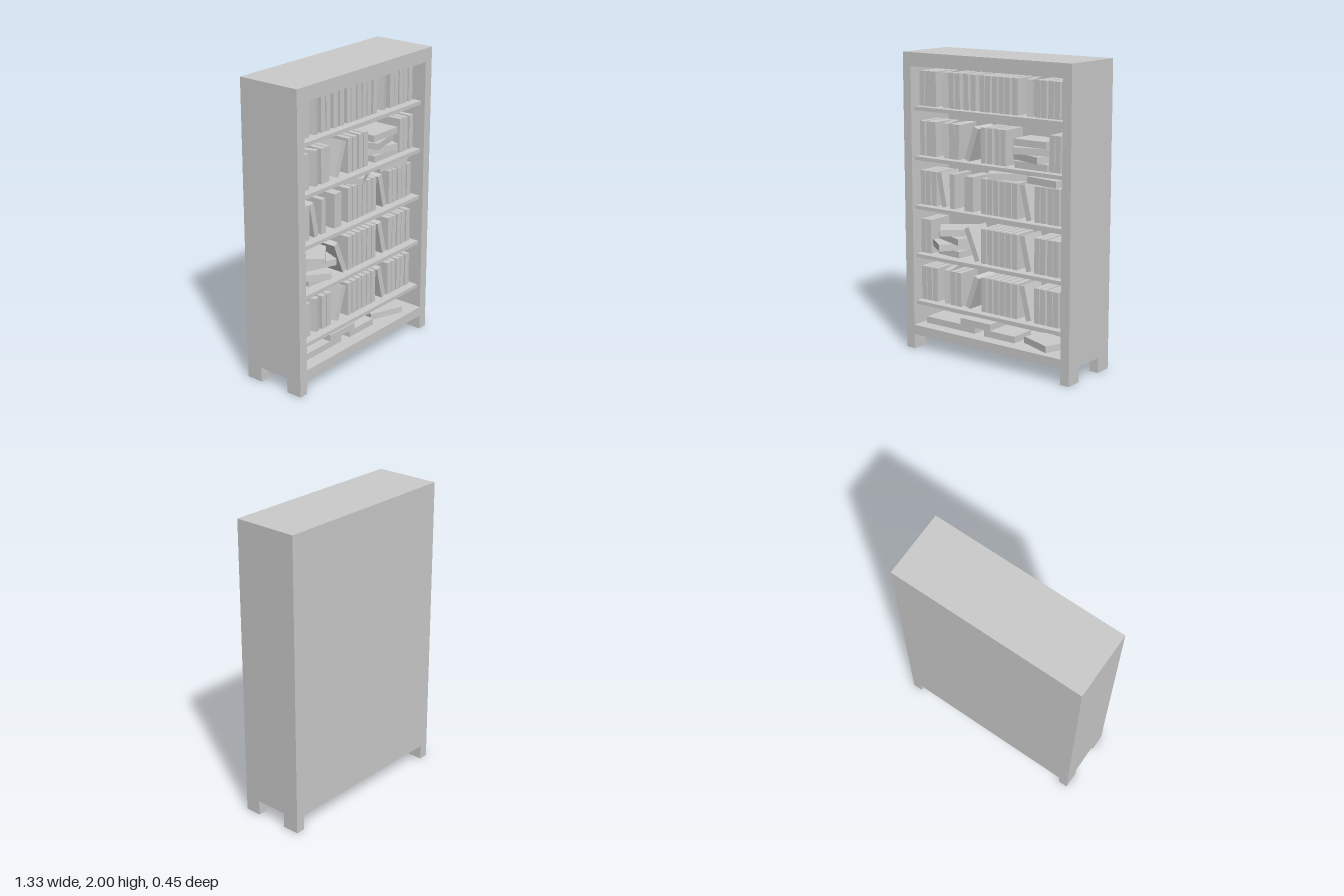
import * as THREE from 'three';

const material = new THREE.MeshStandardMaterial({ color: 0xcccccc, flatShading: true });
const BOOK = { thick: 0.04, tall: 0.23, deep: 0.18 };
const SPINE_Z = 0.135;

function box(parent, name, [w, h, d], [x, y, z]) {
  const mesh = new THREE.Mesh(new THREE.BoxGeometry(w, h, d), material);
  mesh.name = name;
  mesh.position.set(x, y, z);
  parent.add(mesh);
  return mesh;
}

// Upright book, given by its left edge
function upright(row, x, w = BOOK.thick) {
  box(row, 'uprightBook', [w, BOOK.tall, BOOK.deep], [x + w / 2, BOOK.tall / 2, SPINE_Z - BOOK.deep / 2]);
}

// Upright book twisted about the vertical, showing part of its cover
function twisted(row, x, turn = 0.3) {
  const half = (Math.cos(turn) * BOOK.deep + Math.sin(turn) * BOOK.thick) / 2;
  box(row, 'twistedBook', [BOOK.thick, BOOK.tall, BOOK.deep], [x, BOOK.tall / 2, SPINE_Z - half]).rotation.y = turn;
}

// Book tipped sideways, resting on its lower corner
function leaning(row, x, tilt) {
  const half = (Math.cos(tilt) * BOOK.tall + Math.abs(Math.sin(tilt)) * BOOK.thick) / 2;
  box(row, 'leaningBook', [BOOK.thick, BOOK.tall, BOOK.deep], [x, half, SPINE_Z - BOOK.deep / 2]).rotation.z = tilt;
}

// Book lying flat
function flat(row, x, y, turn = 0, z = 0.045, length = 0.25) {
  box(row, 'lyingBook', [length, 0.044, BOOK.deep], [x, y + 0.022, z]).rotation.y = turn;
}

function buildCase(group) {
  // Frame of top, sides and floor around the opening
  const frame = new THREE.Shape();
  frame.moveTo(-0.665, 0.1).lineTo(0.665, 0.1).lineTo(0.665, 2).lineTo(-0.665, 2).closePath();
  const opening = new THREE.Path();
  opening.moveTo(-0.6, 0.165).lineTo(-0.6, 1.91).lineTo(0.6, 1.91).lineTo(0.6, 0.165).closePath();
  frame.holes.push(opening);
  const geometry = new THREE.ExtrudeGeometry(frame, { depth: 0.38, bevelEnabled: false });
  geometry.translate(0, 0, -0.16);
  const mesh = new THREE.Mesh(geometry, material);
  mesh.name = 'caseFrame';
  group.add(mesh);
  box(group, 'backPanel', [1.33, 1.9, 0.065], [0, 1.05, -0.1925]);

  // Four short legs
  for (const side of [-1, 1]) {
    box(group, 'frontLeg', [0.065, 0.1, 0.11], [side * 0.6325, 0.05, 0.165]);
    box(group, 'backLeg', [0.065, 0.1, 0.115], [side * 0.6325, 0.05, -0.1675]);
  }
}

export function createModel() {
  const group = new THREE.Group();
  group.name = 'bookcase';
  buildCase(group);

  // Runs of books shared by several shelves
  const middle = [-0.09, -0.04, 0.01, 0.06, 0.11, 0.16];
  const end = [0.335, 0.38, 0.435, 0.48, 0.535];

  // Shelves from the top down; twist and lean entries are book centres
  const shelves = [
    {
      y: 1.645,
      books: [-0.6, -0.3, -0.35, -0.23, -0.17, -0.1, -0.053, 0, 0.053, 0.1, 0.16, ...end],
      wide: [[-0.555, 0.095]],
      twist: [-0.41, 0.265],
    },
    {
      y: 1.315,
      books: [-0.6, -0.545, -0.505, -0.35, -0.09, -0.04, 0.02, 0.07, 0.445, 0.49, 0.55],
      twist: [-0.41],
      lean: [[-0.29, -0.04], [-0.167, -0.34]],
      lying: [[0.305, 0], [0.285, 0.045, -0.3], [0.28, 0.09, 0.24], [0.295, 0.14]],
    },
    {
      y: 0.985,
      books: [-0.6, -0.555, -0.505, -0.35, ...middle, ...end],
      wide: [[-0.225, 0.07]],
      lean: [[-0.42, 0.2], [0.265, 0.24]],
      lying: [[0.07, 0.238, 0.5], [0.4, 0.238, -0.15]],
    },
    {
      y: 0.655,
      books: [-0.6, -0.555, ...middle, ...end],
      lean: [[-0.167, 0.4], [0.265, 0.24]],
      lying: [[-0.355, 0.008, -0.12, 0.045, 0.2], [-0.365, 0.055, 0.92, 0.073], [-0.335, 0.1, -0.37], [-0.345, 0.147, 0.67]],
    },
    {
      y: 0.33,
      books: [-0.6, -0.555, -0.505, -0.35, -0.3, ...middle, ...end],
      twist: [-0.41],
      lean: [[-0.167, -0.34], [0.265, 0.24]],
    },
    {
      y: 0.165,
      lying: [[-0.3575, 0, 0, 0.04, 0.415], [0.055, 0], [0.37, 0, -0.36], [-0.143, 0.045]],
    },
  ];

  shelves.forEach(({ y, books = [], wide = [], twist = [], lean = [], lying = [] }, i) => {
    if (i < 5) box(group, 'shelf', [1.2, 0.025, 0.35], [0, y - 0.0125, 0.015]);
    const row = new THREE.Group();
    row.name = 'bookRow';
    row.position.y = y;
    books.forEach((x) => upright(row, x));
    wide.forEach(([x, w]) => upright(row, x, w));
    twist.forEach((x) => twisted(row, x));
    lean.forEach(([x, tilt]) => leaning(row, x, tilt));
    lying.forEach((spec) => flat(row, ...spec));
    group.add(row);
  });

  return group;
}
